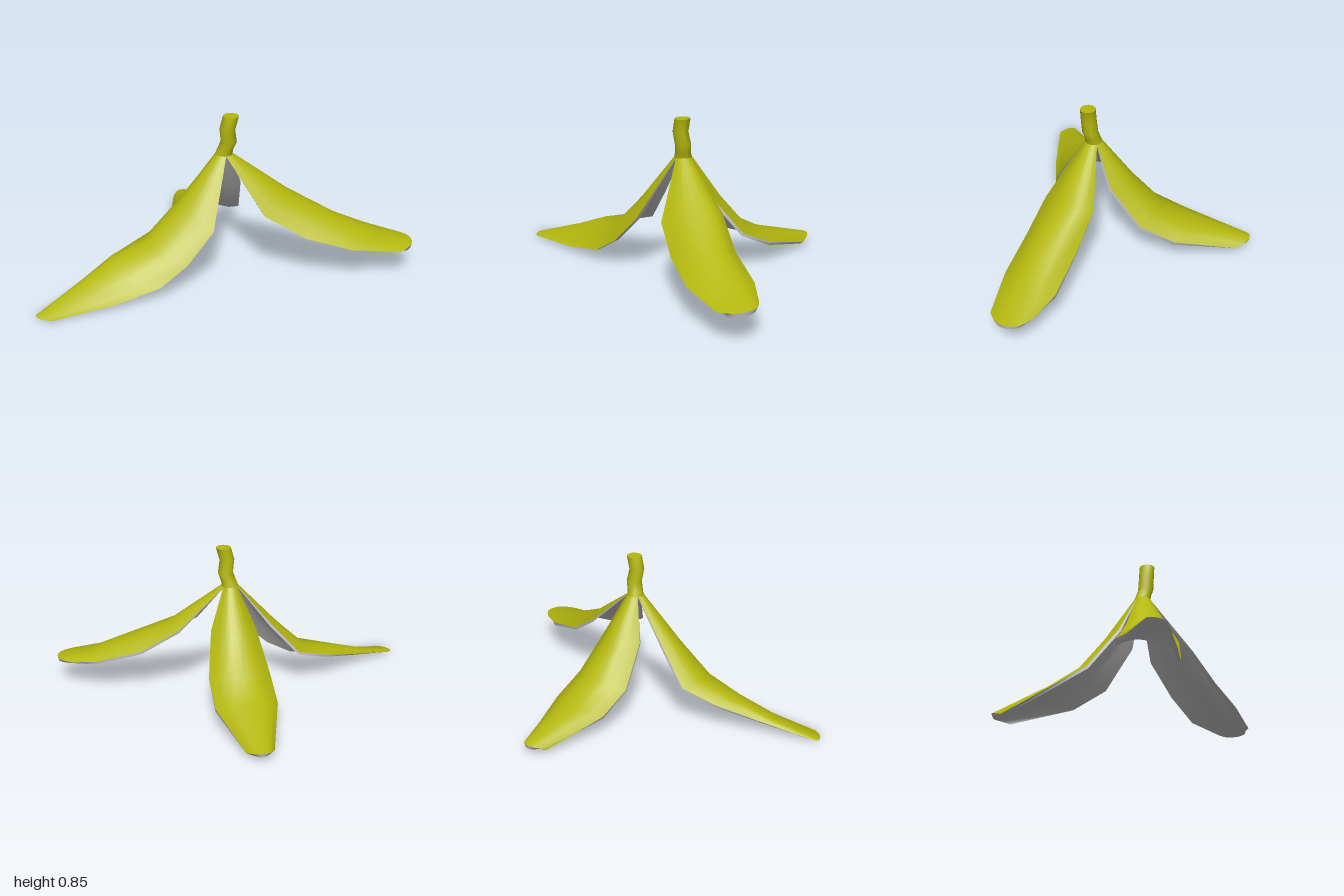
import * as THREE from 'three';

const skin = new THREE.MeshStandardMaterial({ color: 0xb4b80e, side: THREE.DoubleSide });
const flesh = new THREE.MeshStandardMaterial({ color: 0xcccccc, side: THREE.DoubleSide });
const V = (p) => new THREE.Vector3(...p);

// Smooth surface through rows of points
function sheet(rows, material, name) {
  const w = rows[0].length, index = [];
  for (let i = 0; i < rows.length - 1; i++)
    for (let j = 0; j < w - 1; j++) {
      const a = i * w + j, b = a + w;
      index.push(a, b, a + 1, b, b + 1, a + 1);
    }
  const g = new THREE.BufferGeometry().setFromPoints(rows.flat());
  g.setIndex(index);
  g.computeVertexNormals();
  const mesh = new THREE.Mesh(g, material);
  mesh.name = name;
  return mesh;
}

// Arched strip: each station is [edge, ridge, other edge], from the neck to the tip.
// The rim of the front edge (0 first, 1 other, none if left out) is tucked underneath,
// the other rims stand out a little past the skin.
const N = 8;
function createPeel(name, stations, frontEdge = -1) {
  const last = stations.length - 1;
  const outer = stations.map((s) => {
    const [a, m, b] = s.map(V);
    const bulge = m.clone().sub(a.clone().lerp(b, 0.5));
    return Array.from({ length: N + 1 }, (_, j) => {
      const t = j / N;
      return a.clone().lerp(b, t).addScaledVector(bulge, 1 - Math.abs(2 * t - 1) ** 2.5);
    });
  });
  const skinMesh = sheet(outer, skin, name + 'Skin');
  const normals = skinMesh.geometry.attributes.normal;

  // Inner face is the skin pushed inwards
  const inner = outer.map((row, i) => row.map((p, j) => {
    const n = new THREE.Vector3().fromBufferAttribute(normals, i * (N + 1) + j);
    const atFront = j === frontEdge * N;
    if (atFront) n.set(0, 0, 1);
    const q = p.clone().addScaledVector(n, i === 0 ? -0.004 : -0.022);
    if (j % N === 0 && !atFront && i > 0 && i < last)
      q.addScaledVector(p.clone().sub(row[N - j]).normalize(), 0.012);
    q.y = Math.max(q.y, 0);
    return q;
  }));

  // Rim runs out along one edge, around the tip and back along the other
  const loop = (rows) => [
    ...rows.map((r) => r[0]),
    ...rows[last].slice(1, -1),
    ...rows.map((r) => r[N]).reverse(),
  ];
  const group = new THREE.Group();
  group.name = name;
  group.add(
    skinMesh,
    sheet(inner.map((r) => [...r].reverse()), flesh, name + 'Inside'),
    sheet([loop(outer), loop(inner)], flesh, name + 'Rim'),
  );
  return group;
}

// Crooked stem from stacked rings [x, y, z, radius], closed at both ends
function createStem() {
  const rings = [
    [0.05, 0.638, 0.217, 0.045], [0.056, 0.665, 0.222, 0.042], [0.072, 0.71, 0.232, 0.042],
    [0.061, 0.78, 0.24, 0.041], [0.08, 0.853, 0.24, 0.041],
  ];
  const sides = 14;
  const rows = rings.map(([x, y, z, r]) => Array.from({ length: sides + 1 }, (_, j) => {
    const a = (j / sides) * Math.PI * 2;
    return new THREE.Vector3(x + r * Math.cos(a), y, z + r * Math.sin(a));
  }));
  const group = new THREE.Group();
  group.name = 'stem';
  // Rows run downwards so that the wall faces outwards
  group.add(sheet(rows.map((r) => [...r].reverse()).reverse(), skin, 'stemSide'));
  for (const [name, ring, turn, mat] of [
    ['stemCut', rings[4], -1, skin], ['stemBase', rings[0], 1, flesh],
  ]) {
    const cap = new THREE.Mesh(new THREE.CircleGeometry(ring[3], sides), mat);
    cap.rotation.x = turn * Math.PI / 2;
    cap.position.set(ring[0], ring[1], ring[2]);
    cap.name = name;
    group.add(cap);
  }
  return group;
}

export function createModel() {
  const model = new THREE.Group();
  model.name = 'bananaPeel';
  model.add(createStem());

  // Back strip is symmetric: [half width, edge y, edge z, ridge y, ridge z]
  const back = [
    [0.039, 0.638, 0.195, 0.64, 0.172], [0.125, 0.42, 0.115, 0.4, 0],
    [0.17, 0.21, -0.05, 0.247, -0.133], [0.17, 0.122, -0.235, 0.157, -0.3],
    [0.075, 0.03, -0.56, 0.06, -0.637],
  ].map(([w, ey, ez, ry, rz]) => [[0.053 + w, ey, ez], [0.053, ry, rz], [0.053 - w, ey, ez]]);
  model.add(createPeel('backPeel', back));

  model.add(createPeel('leftPeel', [
    [[0.05, 0.638, 0.262], [0.089, 0.64, 0.24], [0.089, 0.638, 0.195]],
    [[0.2, 0.365, 0.46], [0.36, 0.425, 0.335], [0.35, 0.4, 0.185]],
    [[0.4, 0.25, 0.54], [0.6, 0.302, 0.435], [0.55, 0.265, 0.255]],
    [[0.63, 0.185, 0.61], [0.82, 0.205, 0.49], [0.79, 0.195, 0.325]],
    [[0.9, 0.153, 0.635], [1, 0.163, 0.53], [0.93, 0.165, 0.41]],
  ], 0));

  model.add(createPeel('rightPeel', [
    [[0.011, 0.638, 0.195], [0.011, 0.64, 0.24], [0.05, 0.638, 0.262]],
    [[-0.175, 0.4, 0.185], [-0.185, 0.393, 0.315], [-0.07, 0.305, 0.44]],
    [[-0.34, 0.215, 0.162], [-0.365, 0.218, 0.35], [-0.22, 0.155, 0.48]],
    [[-0.52, 0.155, 0.22], [-0.57, 0.15, 0.39], [-0.37, 0.065, 0.51]],
    [[-0.7, 0.09, 0.325], [-0.76, 0.078, 0.445], [-0.6, 0.028, 0.545]],
    [[-0.99, 0.005, 0.48], [-1, 0.005, 0.525], [-0.94, 0.006, 0.575]],
  ], 1));
  return model;
}
